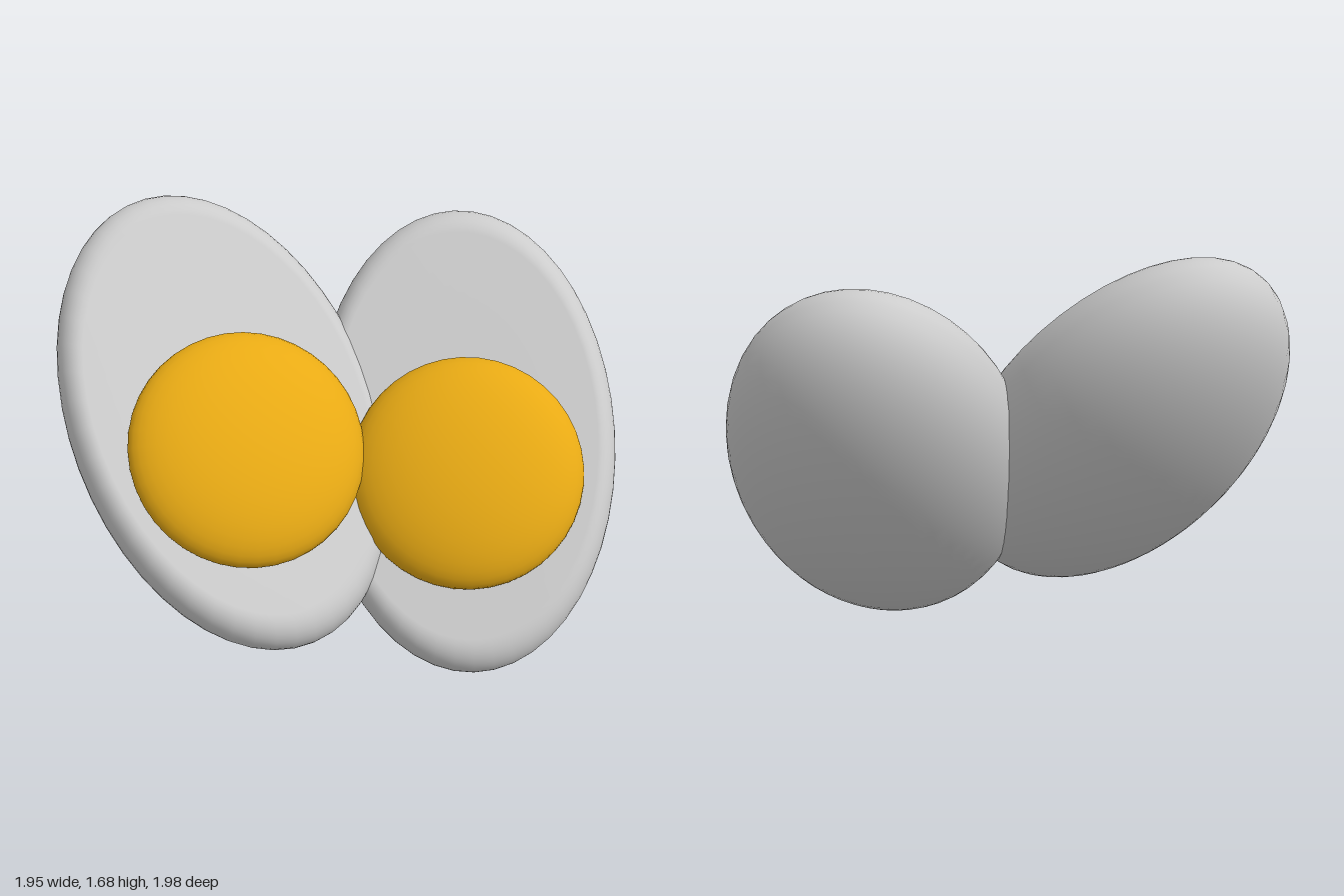
import * as THREE from 'three';

const HALF_WIDTH = 0.61, HALF_LENGTH = 0.95, RIM = 0.14, DOME = 0.44;

// Half egg: flat cut face with a rounded rim above, elliptical dome below
function whiteGeometry() {
  const pts = [];
  for (let i = 0; i <= 16; i++) {
    const a = (i / 16) * Math.PI / 2;
    pts.push(new THREE.Vector2(Math.sin(a), -DOME * Math.cos(a)));
  }
  const bevel = 0.14;
  for (let i = 1; i <= 8; i++) {
    const a = (i / 8) * Math.PI / 2;
    pts.push(new THREE.Vector2(1 - bevel + bevel * Math.cos(a), RIM * Math.sin(a)));
  }
  pts.push(new THREE.Vector2(0.5, RIM), new THREE.Vector2(0, RIM));
  pts[0].x = 0;
  const geo = new THREE.LatheGeometry(pts, 48);
  geo.scale(HALF_WIDTH, 1, HALF_LENGTH);
  return geo;
}

// Places one half by its centre, the way its cut face looks, and its long axis
function eggHalf(name, centre, facing, long) {
  const egg = new THREE.Group();
  egg.name = name;

  const white = new THREE.Mesh(whiteGeometry(),
    new THREE.MeshStandardMaterial({ color: 0xcccccc }));
  white.name = 'eggWhite';

  // Flattened yolk, sunk in the cut face towards the lower end
  const yolk = new THREE.Mesh(new THREE.SphereGeometry(1, 40, 24),
    new THREE.MeshStandardMaterial({ color: 0xe8aa14 }));
  yolk.name = 'yolk';
  yolk.scale.set(0.46, 0.17, 0.46);
  yolk.position.set(0, RIM + 0.02, 0.165);
  egg.add(white, yolk);

  const n = new THREE.Vector3(...facing).normalize();
  const side = new THREE.Vector3(...long).cross(n).normalize();
  const down = side.clone().cross(n);
  egg.quaternion.setFromRotationMatrix(new THREE.Matrix4().makeBasis(side, n, down));
  egg.position.set(...centre);
  return egg;
}

export function createModel() {
  const model = new THREE.Group();
  model.name = 'halvedEgg';
  model.add(
    eggHalf('rightHalf', [-0.385, 0.925, -0.287], [-0.32, 0.65, 0.69], [0.13, 0.75, -0.65]),
    eggHalf('leftHalf', [0.345, 0.795, 0.335], [-0.61, 0.61, 0.5], [0.42, 0.785, -0.46]),
  );
  return model;
}
